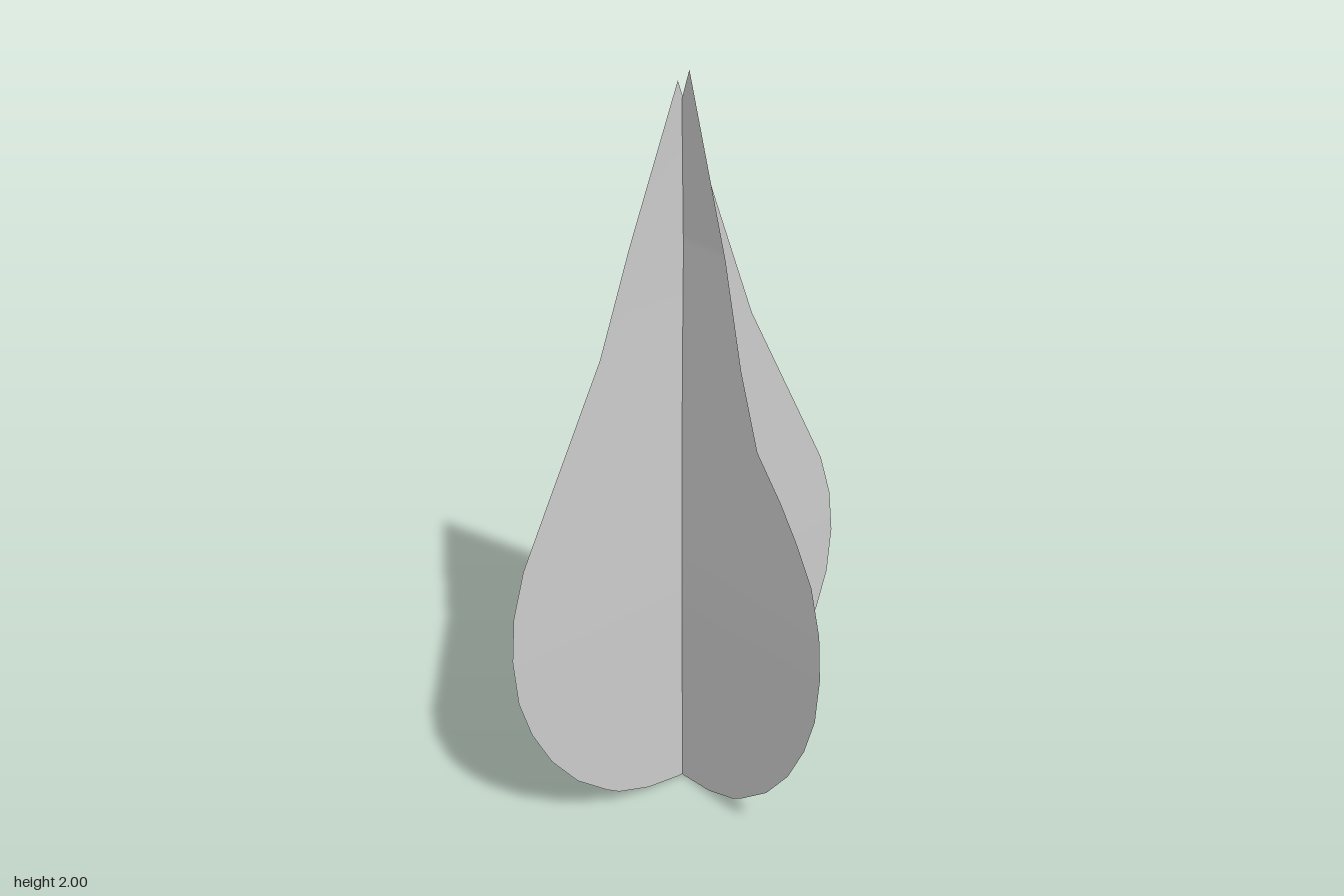
import * as THREE from 'three';

// Piecewise-linear lookup: rows are [y, value], ordered from low to high y.
function lerpAt(rows, y) {
  for (let i = 1; i < rows.length; i++) {
    const [y0, a] = rows[i - 1], [y1, b] = rows[i];
    if (y <= y1) return a + (b - a) * (y - y0) / (y1 - y0);
  }
  return rows[rows.length - 1][1];
}

// Lower outline shared by every lobe: [height, distance from the spine].
const base = [[0.005, 0.015], [0.017, 0.12], [0.05, 0.22], [0.075, 0.26], [0.15, 0.355],
  [0.25, 0.435], [0.36, 0.492], [0.47, 0.527], [0.6, 0.539], [0.72, 0.528], [0.84, 0.492]];
const smoothTop = tipY => [...base, [1.01, 0.405], [1.33, 0.24], [1.59, 0.145], [tipY, 0]];
const notchedTop = [...base, [0.94, 0.43], [1.02, 0.37], [1.12, 0.28], [1.31, 0.21], [1.57, 0.14], [2, 0.015]];

// One thin, slightly bent sheet made of rows: negative edge, spine, positive edge.
function sheet(name, neg, pos, bend, place) {
  const ys = [...new Set([...neg, ...pos].map(r => r[0]))].sort((a, b) => a - b);
  const points = [], index = [];
  ys.forEach((y, i) => {
    const left = -lerpAt(neg, y), right = lerpAt(pos, y);
    const off = lerpAt(bend, y);
    for (const s of [left, (left + right) / 2, right]) points.push(...place(s, y, off));
    if (i === 0) return;
    for (let k = 0; k < 2; k++) {
      const a = (i - 1) * 3 + k, b = i * 3 + k;
      index.push(a, a + 1, b + 1, a, b + 1, b);
    }
  });
  const geo = new THREE.BufferGeometry();
  geo.setAttribute('position', new THREE.Float32BufferAttribute(points, 3));
  geo.setIndex(index);
  geo.computeVertexNormals();
  const mesh = new THREE.Mesh(geo, new THREE.MeshStandardMaterial({ color: 0xcccccc, side: THREE.DoubleSide }));
  mesh.name = name;
  return mesh;
}

export function createModel() {
  const group = new THREE.Group();
  group.name = 'crossedLeaf';

  // Sheet across the width, leaning slightly back near the top
  const leftTip = smoothTop(2);
  leftTip[leftTip.length - 1][1] = -0.015;
  group.add(sheet('wideLeafSheet', leftTip, notchedTop,
    [[0, 0], [0.6, 0], [1.1, -0.009], [1.57, -0.02], [2, -0.011]], (s, y, o) => [s, y, o]));

  // Sheet across the depth, leaning slightly towards the model's right
  group.add(sheet('deepLeafSheet', smoothTop(1.97), smoothTop(1.97),
    [[0, 0.004], [0.6, 0.002], [1.1, -0.009], [1.57, -0.018], [1.97, -0.014]], (s, y, o) => [o, y, -s]));

  return group;
}
